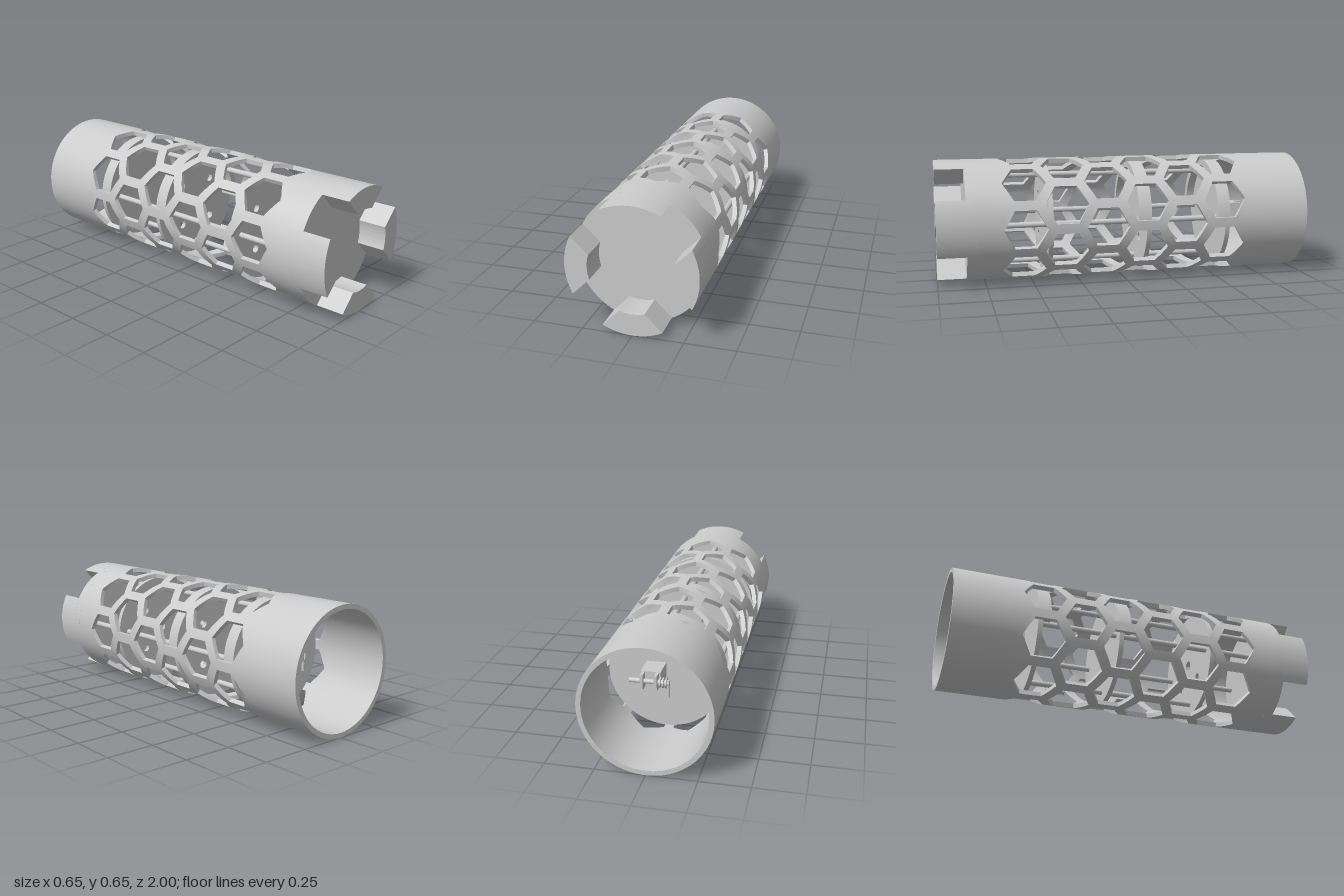
import * as THREE from 'three';
import { toCreasedNormals } from 'three/addons/utils/BufferGeometryUtils.js';

const R = 0.325, RI = 0.301;            // tube outer and inner radius
const BACK = -1, FACE = 0.85, FRONT = 1;
const ROWS = 6, COLS = 8, ROW0 = 0.55, ROW_STEP = 0.215;
const CELL = ROW_STEP / 1.5, HOLE = 0.114;
const TILT = Math.PI / 2 - 0.044;       // slight turn of the hole pattern
const mat = new THREE.MeshStandardMaterial({ color: 0xcccccc });

function add(parent, name, geo, x = 0, y = 0, z = 0) {
  const m = new THREE.Mesh(geo, mat);
  m.name = name;
  m.position.set(x, y, z);
  parent.add(m);
  return m;
}

const rod = (r, len, sides = 20) => new THREE.CylinderGeometry(r, r, len, sides).rotateX(Math.PI / 2);
const extrude = (shape, depth) => toCreasedNormals(
  new THREE.ExtrudeGeometry(shape, { depth, bevelEnabled: false, curveSegments: 48 }), 0.5);

// Hexagonal lattice sleeve: each cell is a hexagon with a smaller hexagonal hole,
// laid out in (angle, z) and wrapped round the axis. Plain walls run on to both ends.
function sleeveGeometry(zFront, zBack) {
  const pos = [], N = 5;
  const wrap = ([a, z], r) => [r * Math.cos(a), r * Math.sin(a), z];
  const quad = (a, b, c, d) => pos.push(...a, ...b, ...c, ...a, ...c, ...d);
  const mix = (p, q, t) => [p[0] + (q[0] - p[0]) * t, p[1] + (q[1] - p[1]) * t];
  const wall = (a, b, c, d) => {
    quad(...[a, b, c, d].map(p => wrap(p, R)));
    quad(...[d, c, b, a].map(p => wrap(p, RI)));
  };
  const step = Math.PI * 2 / COLS;
  const angScale = step / (Math.sqrt(3) * CELL);
  for (let i = 0; i < ROWS; i++) for (let j = 0; j < COLS; j++) {
    const a0 = TILT + (j + (i % 2) / 2) * step, z0 = ROW0 - i * ROW_STEP;
    const corner = (k, r) => {
      const t = Math.PI / 6 + k * Math.PI / 3;
      return [a0 + r * Math.cos(t) * angScale, z0 + r * Math.sin(t)];
    };
    for (let k = 0; k < 6; k++) for (let s = 0; s < N; s++) {
      const edge = (r, t) => mix(corner(k, r), corner(k + 1, r), t);
      const c0 = edge(CELL, s / N), c1 = edge(CELL, (s + 1) / N);
      const h0 = edge(HOLE, s / N), h1 = edge(HOLE, (s + 1) / N);
      wall(c0, c1, h1, h0);
      quad(wrap(h0, R), wrap(h1, R), wrap(h1, RI), wrap(h0, RI));
      const end = i === 0 && k < 2 ? zFront
        : i === ROWS - 1 && (k === 3 || k === 4) ? zBack : null;
      // k = 0,1 are the edges facing forward, 3,4 those facing back
      if (end !== null) wall(c1, c0, [c0[0], end], [c1[0], end]);
    }
  }
  const g = new THREE.BufferGeometry();
  g.setAttribute('position', new THREE.Float32BufferAttribute(pos, 3));
  return toCreasedNormals(g, 0.5);
}

// Coupling tooth: a sector with sides at 45 degrees
function toothGeometry() {
  const s = new THREE.Shape(), inner = 0.297, outer = 0.469;
  s.absarc(0, 0, R, -outer, outer, false);
  s.absarc(0, 0, 0.213, inner, -inner, true);
  s.closePath();
  return extrude(s, FRONT - FACE);
}

// Round bulkhead plate with bolt holes
function plateGeometry(radius, thickness, holes) {
  const s = new THREE.Shape();
  s.absarc(0, 0, radius, 0, Math.PI * 2, false);
  for (const [x, y, r] of holes) {
    const h = new THREE.Path();
    h.absarc(x, y, r, 0, Math.PI * 2, true);
    s.holes.push(h);
  }
  return extrude(s, thickness);
}

// Half-round flange on the upper side of a bulkhead
function flangeGeometry(depth) {
  const s = new THREE.Shape();
  s.absarc(0, 0, 0.298, 0, Math.PI, false);
  s.absarc(0, 0, 0.262, Math.PI, 0, true);
  s.closePath();
  return extrude(s, depth);
}

export function createModel() {
  const model = new THREE.Group();
  const body = new THREE.Group();
  body.name = 'body';
  body.position.y = R;
  model.add(body);

  // Outer tube, rear rim and front cap
  const plugBack = 0.8;
  add(body, 'latticeSleeve', sleeveGeometry(plugBack, BACK));
  add(body, 'rearRim', new THREE.RingGeometry(RI, R, 96).rotateY(Math.PI), 0, 0, BACK);
  add(body, 'frontCap', rod(R, FACE - plugBack, 96), 0, 0, (FACE + plugBack) / 2);

  // Four coupling teeth
  const tooth = toothGeometry();
  for (let i = 0; i < 4; i++) {
    add(body, 'couplingTooth', tooth, 0, 0, FACE).rotation.z = i * Math.PI / 2;
  }

  // Four tie rods
  for (let i = 0; i < 4; i++) {
    const a = i * Math.PI / 2, len = plugBack + 0.56;
    add(body, 'tieRod', rod(0.015, len), 0.235 * Math.cos(a), 0.235 * Math.sin(a), (plugBack - 0.56) / 2);
  }

  // Bulkheads
  const bolts = [0, 1, 2, 3].map(i => {
    const a = Math.PI / 4 + i * Math.PI / 2;
    return [0.16 * Math.cos(a), 0.16 * Math.sin(a), 0.022];
  });
  add(body, 'frontBulkhead', plateGeometry(0.298, 0.025, [[0, 0, 0.03], ...bolts]), 0, 0, 0.405);
  add(body, 'middleBulkhead', plateGeometry(0.298, 0.025, bolts), 0, 0, -0.12);
  add(body, 'middleFlange', flangeGeometry(0.045), 0, 0, -0.096);
  add(body, 'rearBulkhead', plateGeometry(0.298, 0.025, []), 0, 0, -0.56);
  add(body, 'rearFlange', flangeGeometry(0.045), 0, 0, -0.536);

  // Small latch on the back of the rear bulkhead
  const latch = new THREE.Group();
  latch.name = 'latch';
  latch.position.set(0.05, 0.015, -0.56);
  body.add(latch);
  add(latch, 'latchBlock', new THREE.BoxGeometry(0.1, 0.08, 0.12), 0, 0, -0.06);
  for (const x of [-0.035, 0.035]) {
    add(latch, 'latchEar', new THREE.BoxGeometry(0.015, 0.08, 0.05), x, 0, -0.145);
  }
  add(latch, 'latchShaft', new THREE.CylinderGeometry(0.012, 0.012, 0.2, 16).rotateZ(Math.PI / 2), 0, 0, -0.145);
  for (const x of [-0.055, -0.07, -0.085]) {
    add(latch, 'latchWasher', new THREE.CylinderGeometry(0.026, 0.026, 0.007, 20).rotateZ(Math.PI / 2), x, 0, -0.145);
  }
  add(latch, 'latchPin', new THREE.CylinderGeometry(0.007, 0.007, 0.09, 12), -0.095, -0.03, -0.145);

  return model;
}
